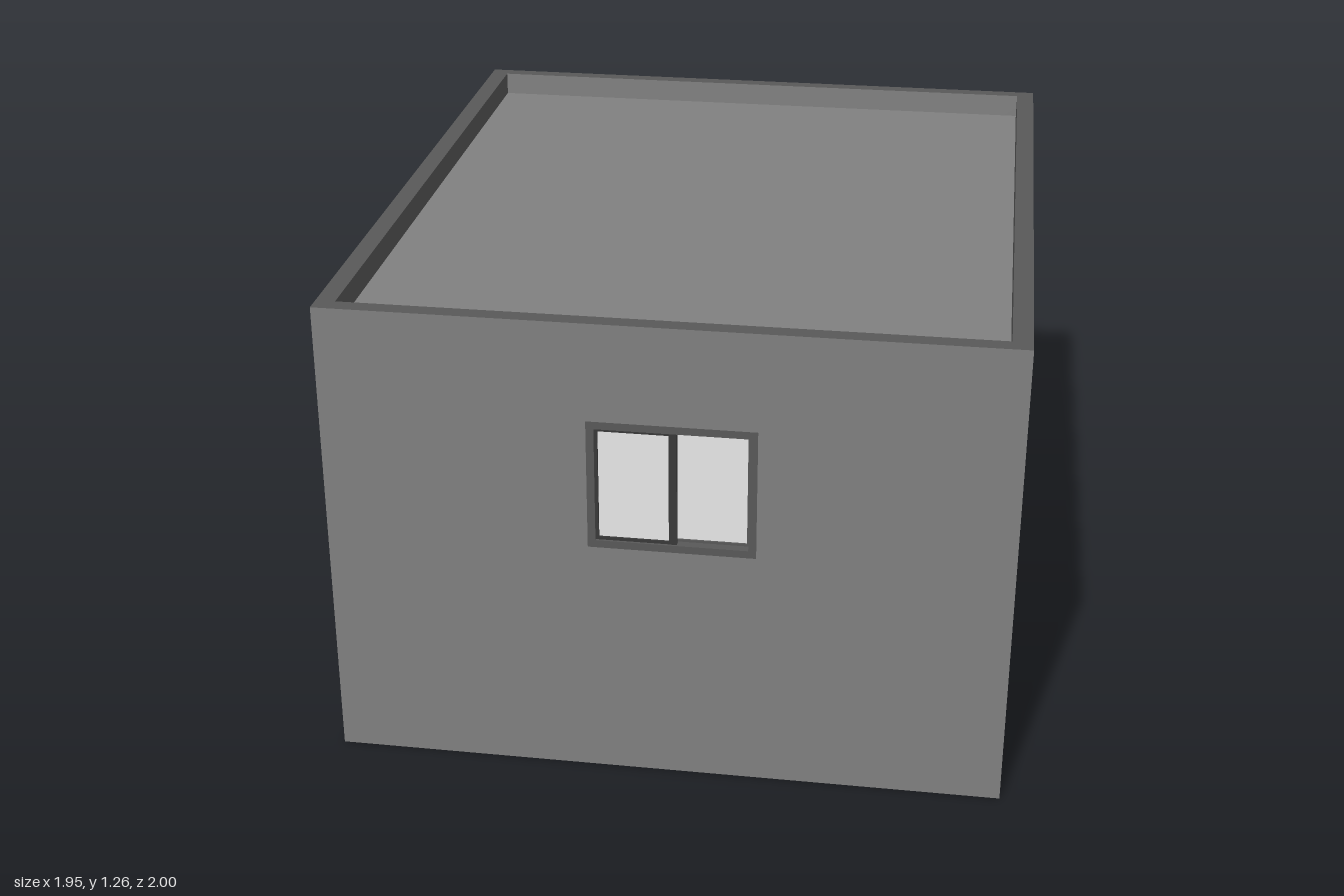
import * as THREE from 'three';

const mat = (name, color) => {
  const m = new THREE.MeshStandardMaterial({ color });
  m.name = name;
  return m;
};

export function createModel() {
  const plaster = mat('grey plaster', 0x808080);
  const dark = mat('dark grey', 0x585858);
  const black = mat('charcoal', 0x383838);
  const glass = mat('pale glass', 0xf8f8f8);
  const trim = mat('light trim', 0xc8c8c8);

  const model = new THREE.Group();
  model.name = 'smallBuilding';

  // Box given by its limits on each axis
  const box = (parent, name, [x0, x1], [y0, y1], [z0, z1], material) => {
    const mesh = new THREE.Mesh(new THREE.BoxGeometry(x1 - x0, y1 - y0, z1 - z0), material);
    mesh.position.set((x0 + x1) / 2, (y0 + y1) / 2, (z0 + z1) / 2);
    mesh.name = name;
    parent.add(mesh);
    return mesh;
  };
  // Wall materials: plaster, with dark top and dark chosen inner face
  const faces = (...darkFaces) =>
    [0, 1, 2, 3, 4, 5].map(i => (darkFaces.includes(i) ? dark : plaster));

  const X0 = -0.76, X1 = 0.98, H = 1.265, T = 0.05;
  const zIn = [-0.96, 0.955];

  // Floor, roof slab and plain walls
  box(model, 'floor', [X0 + T, X1 - T], [0, 0.035], zIn, plaster);
  box(model, 'roof', [X0 + T, X1 - T], [1.15, 1.2], zIn, plaster);
  box(model, 'backWall', [X0, X1], [0, H], [-1, zIn[0]], faces(2));
  box(model, 'leftWall', [X1 - T, X1], [0, H], zIn, faces(1, 2));

  // Front wall around the window opening
  const wx = [-0.085, 0.34], wy = [0.655, 1.005], wz = [zIn[1], 1];
  const front = new THREE.Group();
  front.name = 'frontWall';
  model.add(front);
  box(front, 'wallBelowWindow', [X0, X1], [0, wy[0]], wz, faces(5));
  box(front, 'wallAboveWindow', [X0, X1], [wy[1], H], wz, faces(2, 5));
  box(front, 'wallBesideWindow', [X0, wx[0]], wy, wz, faces(5));
  box(front, 'wallBesideWindow', [wx[1], X1], wy, wz, faces(5));

  // Door wall around the doorway
  const dz = [-0.085, 0.34], dy = [0.035, 0.975], dx = [X0, X0 + T];
  const side = new THREE.Group();
  side.name = 'doorWall';
  model.add(side);
  box(side, 'wallBehindDoor', dx, [0, H], [zIn[0], dz[0]], faces(0, 2));
  box(side, 'wallBeforeDoor', dx, [0, H], [dz[1], zIn[1]], faces(0, 2));
  box(side, 'wallAboveDoor', dx, [dy[1], H], dz, faces(0, 2));
  box(side, 'threshold', dx, [0, dy[0]], dz, plaster);

  // Door frame
  const doorFrame = new THREE.Group();
  doorFrame.name = 'doorFrame';
  model.add(doorFrame);
  box(doorFrame, 'jamb', dx, dy, [dz[0], dz[0] + 0.03], trim);
  box(doorFrame, 'jamb', dx, dy, [dz[1] - 0.03, dz[1]], trim);
  box(doorFrame, 'head', dx, [dy[1] - 0.025, dy[1]], [dz[0] + 0.03, dz[1] - 0.03], trim);

  // Sliding window: a rectangular frame built from four bars
  const ring = (name, [x0, x1], [y0, y1], z, w, material) => {
    const g = new THREE.Group();
    g.name = name;
    box(g, 'stile', [x0, x0 + w], [y0, y1], z, material);
    box(g, 'stile', [x1 - w, x1], [y0, y1], z, material);
    box(g, 'rail', [x0 + w, x1 - w], [y0, y0 + w], z, material);
    box(g, 'rail', [x0 + w, x1 - w], [y1 - w, y1], z, material);
    model.add(g);
  };
  ring('windowFrame', wx, wy, [0.95, 1], 0.02, dark);
  ring('frontSash', [-0.065, 0.14], [0.675, 0.985], [0.978, 0.994], 0.008, black);
  ring('rearSash', [0.12, 0.32], [0.675, 0.985], [0.96, 0.976], 0.006, dark);
  box(model, 'frontPane', [-0.057, 0.125], [0.683, 0.977], [0.983, 0.989], glass);
  box(model, 'rearPane', [0.126, 0.314], [0.681, 0.979], [0.965, 0.971], glass);
  box(model, 'meetingStile', [0.12, 0.136], [0.675, 0.985], [0.976, 0.995], black);

  // Open door, hinged at the doorway's rear jamb
  const door = new THREE.Group();
  door.name = 'door';
  door.position.set(-0.757, 0, -0.05);
  door.rotation.y = Math.atan2(-0.211, 0.25);
  model.add(door);
  box(door, 'doorLeaf', [-0.009, 0.009], [0.037, 0.95], [0, 0.325], dark);

  // Curved lever handle and round rose on both faces
  for (const s of [-1, 1]) {
    const path = new THREE.CatmullRomCurve3([[0.009, 0], [0.028, -0.002], [0.036, -0.018], [0.032, -0.058]]
      .map(([x, z]) => new THREE.Vector3(s * x, 0.515, 0.3 + z)));
    const lever = new THREE.Mesh(new THREE.TubeGeometry(path, 12, 0.004, 8), black);
    lever.name = 'doorLever';
    const rose = new THREE.Mesh(new THREE.CylinderGeometry(0.011, 0.011, 0.006, 16), black);
    rose.rotation.z = Math.PI / 2;
    rose.position.set(s * 0.011, 0.515, 0.3);
    rose.name = 'handleRose';
    const tip = new THREE.Mesh(new THREE.SphereGeometry(0.004, 8, 6), black);
    tip.position.set(s * 0.032, 0.515, 0.242);
    tip.name = 'leverTip';
    door.add(lever, rose, tip);
  }

  return model;
}
